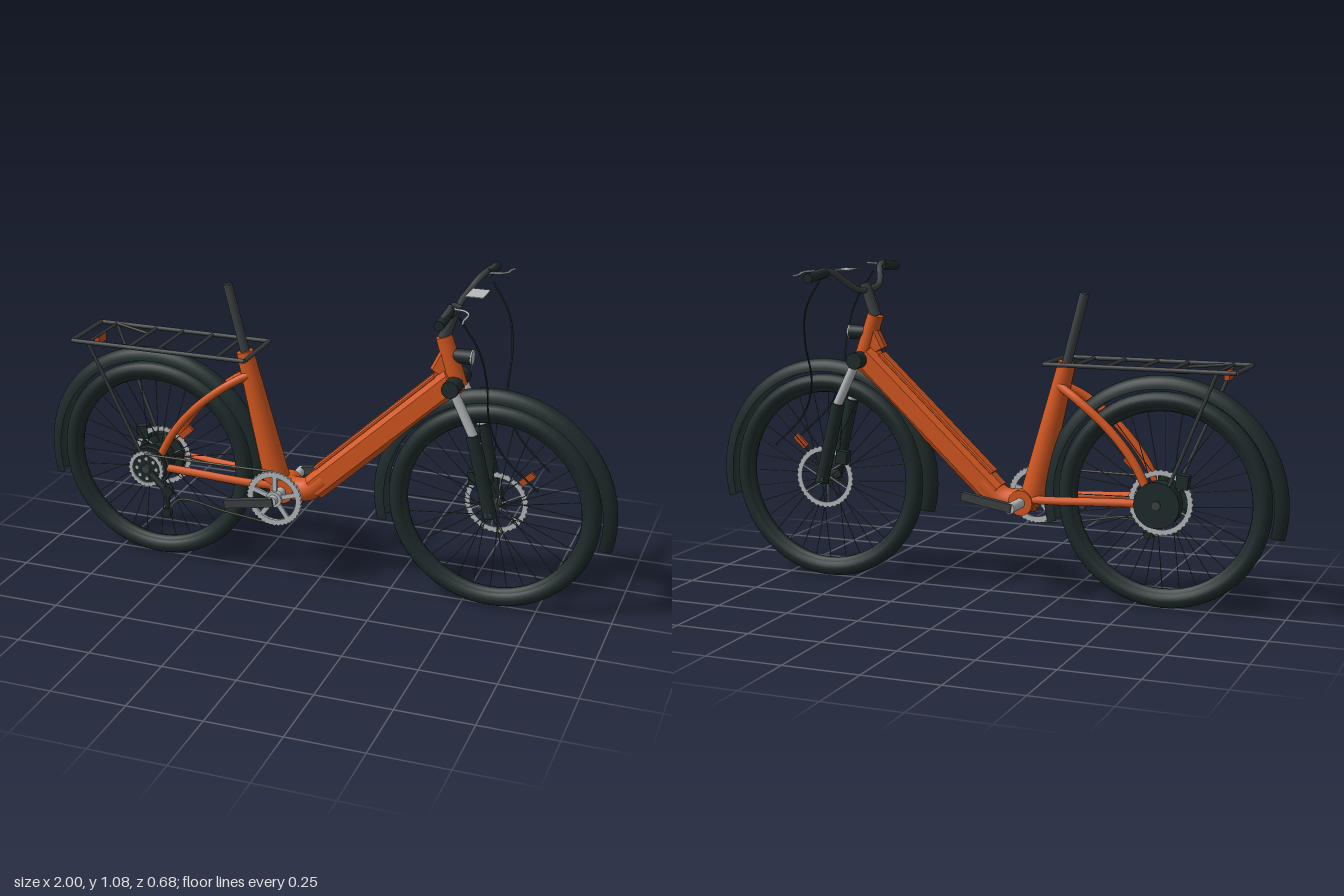
import * as THREE from 'three';

const V = (x, y, z = 0) => new THREE.Vector3(x, y, z);
const paint = (name, color) => Object.assign(new THREE.MeshStandardMaterial({ color }), { name });

export function createModel() {
  const root = new THREE.Group();
  root.name = 'bicycle';
  const orange = paint('frame orange', 0xd4571f);
  const black = paint('rubber black', 0x1e2a2a);
  const grey = paint('dark metal', 0x3d4142);
  const silver = paint('silver', 0xb6babd);
  const spokeGrey = paint('spoke grey', 0x4a4d4d);
  const chainMat = paint('chain', 0x57574c);
  const red = paint('reflector', 0xc04a1e);
  black.side = THREE.DoubleSide;

  const add = (name, geo, mat, parent = root) => {
    const m = new THREE.Mesh(geo, mat);
    m.name = name;
    parent.add(m);
    return m;
  };
  // Straight round bar from a to b, optionally tapered
  const bar = (name, a, b, r, mat, parent = root, r2 = r, seg = 14) => {
    const m = add(name, new THREE.CylinderGeometry(r2, r, a.distanceTo(b), seg), mat, parent);
    m.position.copy(a).lerp(b, 0.5);
    m.quaternion.setFromUnitVectors(V(0, 1), b.clone().sub(a).normalize());
    return m;
  };
  const tube = (name, pts, r, mat, seg = 40, sides = 10) =>
    add(name, new THREE.TubeGeometry(new THREE.CatmullRomCurve3(pts), seg, r, sides), mat);
  const box = (name, x, y, z, w, h, d, mat, rz = 0, parent = root) => {
    const m = add(name, new THREE.BoxGeometry(w, h, d), mat, parent);
    m.position.set(x, y, z);
    m.rotation.z = rz;
    return m;
  };
  const disc = (name, x, y, z0, z1, r, mat, parent = root) =>
    bar(name, V(x, y, z0), V(x, y, z1), r, mat, parent, r, 32);
  // Flat ring with an outer edge of teeth
  const toothedRing = (name, outer, inner, teeth, depth, mat, parent) => {
    const s = new THREE.Shape();
    for (let i = 0; i < teeth * 2; i++) {
      const a = (i / (teeth * 2)) * Math.PI * 2, r = outer - (i % 2) * 0.005;
      s[i ? 'lineTo' : 'moveTo'](Math.cos(a) * r, Math.sin(a) * r);
    }
    s.holes.push(new THREE.Path().absarc(0, 0, inner, 0, Math.PI * 2, true));
    const geo = new THREE.ExtrudeGeometry(s, { depth, bevelEnabled: false, curveSegments: 24 });
    return add(name, geo.translate(0, 0, -depth / 2), mat, parent);
  };

  // Wheels with tyre, rim, spokes, brake disc and mudguard
  const wheel = (name, x) => {
    const g = new THREE.Group();
    g.name = name;
    g.position.set(x, 0.36, 0);
    root.add(g);
    add('tyre', new THREE.TorusGeometry(0.325, 0.028, 16, 72), black, g);
    const rim = [[0.31, -0.018], [0.293, -0.013], [0.289, 0], [0.293, 0.013], [0.31, 0.018]];
    add('rim', new THREE.LatheGeometry(rim.map(p => new THREE.Vector2(...p)), 72).rotateX(Math.PI / 2), black, g);
    for (let i = 0; i < 32; i++) {
      const a = (i / 32) * Math.PI * 2, b = a + (i % 4 < 2 ? 0.5 : -0.5), z = i % 2 ? 0.03 : -0.03;
      bar('spoke', V(Math.cos(b) * 0.028, Math.sin(b) * 0.028, z),
        V(Math.cos(a) * 0.295, Math.sin(a) * 0.295, 0), 0.0015, spokeGrey, g, 0.0015, 5);
    }
    const arch = [];
    for (let i = 0; i <= 12; i++) {
      const t = (i / 12) * Math.PI;
      arch.push(new THREE.Vector2(0.363 + 0.042 * Math.sin(t), -0.03 * Math.cos(t)));
    }
    const start = THREE.MathUtils.degToRad(76), span = THREE.MathUtils.degToRad(208);
    add('mudguard', new THREE.LatheGeometry(arch, 60, start, span).rotateX(Math.PI / 2), black, g);
    toothedRing('brakeDisc', 0.108, 0.088, 36, 0.004, silver, g).position.z = -0.036;
    for (let i = 0; i < 6; i++) {
      const a = (i / 6) * Math.PI * 2;
      bar('discArm', V(Math.cos(a) * 0.02, Math.sin(a) * 0.02, -0.036),
        V(Math.cos(a + 0.4) * 0.09, Math.sin(a + 0.4) * 0.09, -0.036), 0.003, silver, g, 0.003, 6);
    }
    box('brakeCaliper', -0.075, 0.075, -0.045, 0.04, 0.045, 0.035, black, 0.1, g);
    box('wheelReflector', 0.108, 0.112, 0, 0.055, 0.022, 0.012, red, 0.75, g);
    disc('hub', 0, 0, -0.06, 0.06, 0.02, grey, g);
    return g;
  };
  wheel('frontWheel', 0.593);
  const rear = wheel('rearWheel', -0.597);
  disc('hubMotor', 0, 0, -0.088, -0.042, 0.075, black, rear);
  disc('hubMotorBody', 0, 0, -0.03, 0.03, 0.05, black, rear);
  for (let i = 0; i < 5; i++) disc('sprocket', 0, 0, 0.05 + i * 0.01, 0.055 + i * 0.01, 0.074 - i * 0.004, i % 2 ? grey : black, rear);
  toothedRing('sprocketGuard', 0.066, 0.05, 24, 0.006, silver, rear).position.z = 0.1;
  for (let i = 0; i < 8; i++) {
    const a = (i / 8) * Math.PI * 2;
    disc('sprocketBolt', Math.cos(a) * 0.036, Math.sin(a) * 0.036, 0.09, 0.099, 0.006, silver, rear);
  }
  disc('rearAxle', 0, 0, -0.095, 0.108, 0.015, grey, rear);

  // Main frame: faceted down tube with a raised battery cover
  const beam = (name, a, b, hw, hh, c, mat) => {
    const s = new THREE.Shape([[hw, hh - c], [hw - c, hh], [c - hw, hh], [-hw, hh - c],
      [-hw, c - hh], [c - hw, -hh], [hw - c, -hh], [hw, c - hh]].map(p => new THREE.Vector2(...p)));
    const m = add(name, new THREE.ExtrudeGeometry(s, { depth: a.distanceTo(b), bevelEnabled: false }), mat);
    m.position.copy(a);
    m.lookAt(b);
    return m;
  };
  beam('downTube', V(-0.02, 0.343), V(0.45, 0.78), 0.038, 0.045, 0.018, orange);
  beam('batteryCover', V(-0.015, 0.412), V(0.39, 0.789), 0.024, 0.008, 0.005, orange);
  tube('bottomBend', [V(-0.17, 0.335), V(-0.1, 0.322), V(-0.04, 0.33), V(0.02, 0.38)], 0.041, orange, 24, 16);
  disc('bottomBracket', -0.125, 0.325, -0.05, 0.05, 0.042, orange);
  bar('seatTube', V(-0.153, 0.33), V(-0.268, 0.79), 0.046, orange, root, 0.029, 16);
  bar('seatPost', V(-0.265, 0.78), V(-0.325, 1.015), 0.016, grey);
  bar('headTube', V(0.463, 0.76), V(0.412, 0.92), 0.031, orange, root, 0.027, 18);
  beam('headGusset', V(0.4, 0.8), V(0.43, 0.86), 0.022, 0.03, 0.01, orange);
  for (const s of [1, -1]) {
    tube('chainStay', [V(-0.15, 0.335, s * 0.03), V(-0.25, 0.342, s * 0.05), V(-0.42, 0.352, s * 0.058), V(-0.59, 0.36, s * 0.062)], 0.014, orange);
    tube('seatStay', [V(-0.25, 0.715, s * 0.02), V(-0.32, 0.675, s * 0.045), V(-0.43, 0.585, s * 0.053),
      V(-0.51, 0.49, s * 0.056), V(-0.565, 0.39, s * 0.06)], 0.014, orange);
  }

  // Suspension fork
  bar('forkCrown', V(0.457, 0.77, -0.08), V(0.457, 0.77, 0.08), 0.028, black, root, 0.028, 20);
  for (const s of [1, -1]) {
    bar('forkStanchion', V(0.465, 0.755, s * 0.055), V(0.545, 0.59, s * 0.055), 0.016, silver);
    bar('forkLower', V(0.53, 0.62, s * 0.053), V(0.597, 0.345, s * 0.053), 0.023, black, root, 0.023, 18);
  }
  disc('frontAxle', 0.593, 0.36, -0.075, 0.075, 0.012, grey);

  // Headlight
  bar('headlightBody', V(0.44, 0.86), V(0.504, 0.86), 0.022, black, root, 0.025, 20);
  bar('headlightLens', V(0.504, 0.86), V(0.509, 0.86), 0.024, silver, root, 0.024, 24);

  // Stem, handlebar, grips, brake levers and cables
  bar('stem', V(0.412, 0.915), V(0.45, 1.025), 0.02, grey, root, 0.018);
  const half = [[0.444, 1.005, 0.04], [0.442, 1.015, 0.09], [0.457, 1.04, 0.135], [0.477, 1.07, 0.175], [0.488, 1.078, 0.22], [0.49, 1.068, 0.33]];
  const bars = [...half.map(([x, y, z]) => V(x, y, -z)).reverse(), ...half.map(p => V(...p))];
  tube('handlebar', bars, 0.011, grey, 80, 12);
  for (const s of [1, -1]) {
    bar('grip', V(0.489, 1.073, s * 0.215), V(0.49, 1.063, s * 0.337), 0.016, black);
    tube('brakeLever', [V(0.5, 1.078, s * 0.205), V(0.535, 1.078, s * 0.215), V(0.553, 1.076, s * 0.24), V(0.55, 1.07, s * 0.285), V(0.556, 1.067, s * 0.318)], 0.0035, silver, 30, 6);
    tube('brakeCable', [V(0.515, 1.05, s * 0.202), V(0.575, 0.95, s * 0.19), V(0.596, 0.84, s * 0.16),
      V(0.597, 0.7, s * 0.115), V(0.635, 0.59, s * 0.097), V(0.755, 0.47, s * 0.083)], 0.003, black, 50, 6);
  }
  box('displayPlate', 0.517, 1.07, 0, 0.058, 0.003, 0.092, silver);

  // Luggage rack
  const y = 0.795, corners = [[-0.85, -0.11], [-0.85, 0.11], [-0.225, 0.11], [-0.225, -0.11]];
  corners.forEach(([x, z], i) => {
    const [x2, z2] = corners[(i + 1) % 4];
    bar('rackFrame', V(x, y, z), V(x2, y, z2), 0.0075, grey);
  });
  for (const x of [-0.64, -0.54, -0.43, -0.325]) bar('rackCrossbar', V(x, y, -0.11), V(x, y, 0.11), 0.006, grey);
  for (const s of [1, -1]) {
    bar('rackStrut', V(-0.79, y, s * 0.11), V(-0.615, 0.375, s * 0.073), 0.006, grey);
    bar('rackBrace', V(-0.78, y, s * 0.105), V(-0.65, y - 0.01, s * 0.07), 0.005, grey);
  }
  bar('rackLightBar', V(-0.79, y, -0.11), V(-0.79, y, 0.11), 0.005, grey);
  box('rearLight', -0.8, 0.775, 0, 0.018, 0.028, 0.055, red);

  // Chainring and cranks
  const ring = new THREE.Group();
  ring.name = 'chainring';
  ring.position.set(-0.125, 0.325, 0.108);
  root.add(ring);
  toothedRing('chainringTeeth', 0.098, 0.076, 40, 0.01, silver, ring);
  for (let i = 0; i < 5; i++) {
    const a = (i / 5) * Math.PI * 2 + 0.3;
    box('chainringArm', Math.cos(a) * 0.045, Math.sin(a) * 0.045, 0, 0.075, 0.016, 0.008, silver, a, ring);
  }
  disc('crankAxle', -0.125, 0.325, -0.148, 0.14, 0.017, silver);
  disc('chainringHub', -0.125, 0.325, 0.1, 0.12, 0.028, silver);
  box('crankArmLeft', -0.205, 0.309, 0.137, 0.175, 0.028, 0.022, grey, 0.17);
  box('crankArmRight', -0.045, 0.341, -0.142, 0.175, 0.028, 0.022, grey, 0.17);

  // Chain and derailleur
  tube('chainTop', [V(-0.6, 0.415, 0.104), V(-0.36, 0.417, 0.106), V(-0.125, 0.42, 0.108)], 0.004, chainMat, 20, 6);
  tube('chainBottom', [V(-0.515, 0.225, 0.11), V(-0.47, 0.27, 0.11), V(-0.3, 0.25, 0.109), V(-0.125, 0.23, 0.108)], 0.004, chainMat, 30, 6);
  bar('derailleurHanger', V(-0.575, 0.35, 0.112), V(-0.515, 0.3, 0.12), 0.011, black);
  bar('derailleurCage', V(-0.505, 0.295, 0.122), V(-0.515, 0.22, 0.122), 0.007, black);
  disc('upperPulley', -0.508, 0.3, 0.112, 0.13, 0.02, black);
  disc('lowerPulley', -0.515, 0.22, 0.112, 0.13, 0.018, black);
  return root;
}
